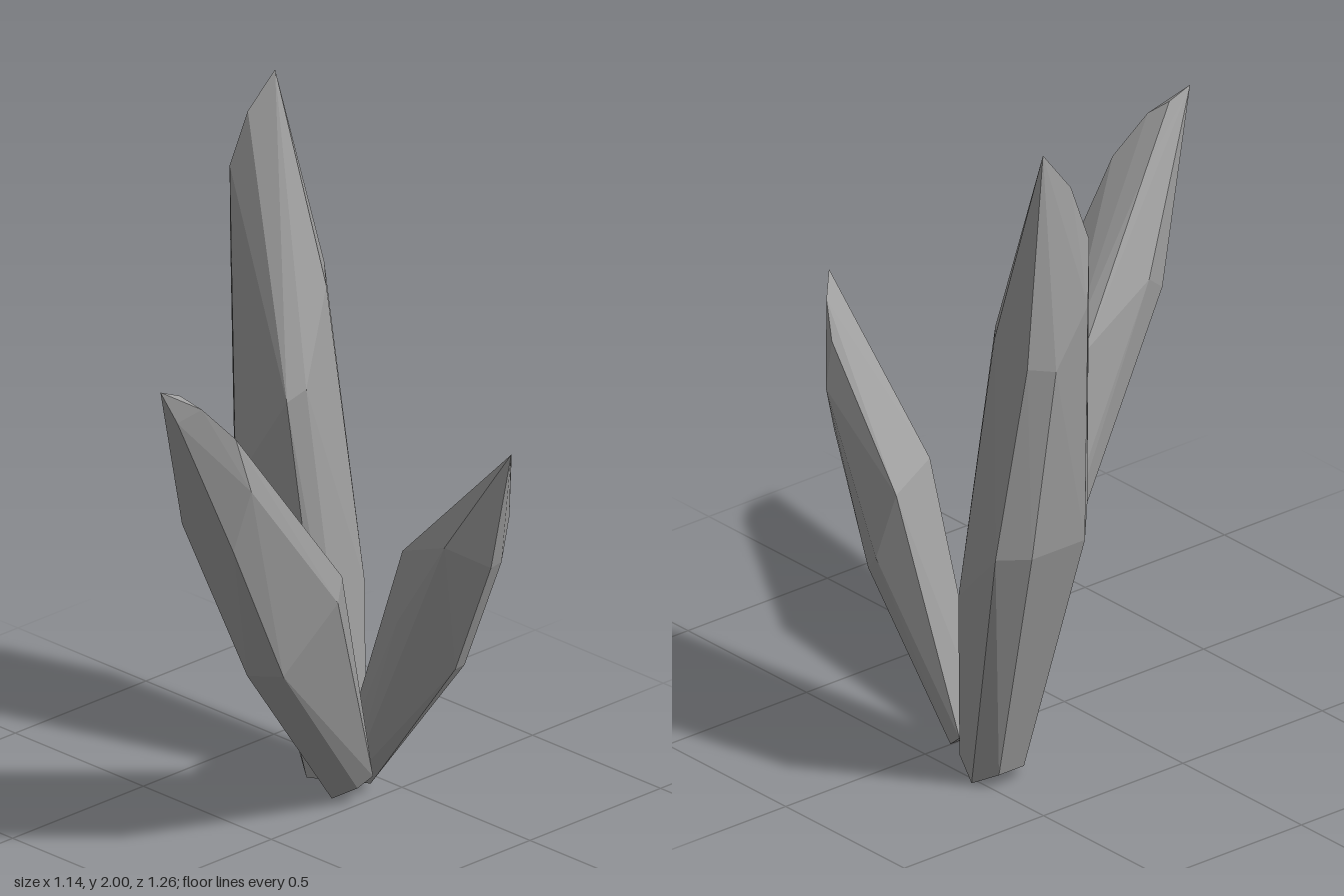
import * as THREE from 'three';
import { ConvexGeometry } from 'three/addons/geometries/ConvexGeometry.js';

const material = new THREE.MeshStandardMaterial({ color: 0x9e9e9e, flatShading: true });

// A faceted crystal: the convex hull of its base, shoulder and tip corners.
function crystal(name, rings) {
  const points = rings.flat().map((p) => new THREE.Vector3(...p));
  const mesh = new THREE.Mesh(new ConvexGeometry(points), material);
  mesh.name = name;
  return mesh;
}

export function createModel() {
  const group = new THREE.Group();
  group.name = 'crystalCluster';

  group.add(crystal('tallCrystal', [
    // base
    [[-0.30, 0.045, -0.40], [-0.23, 0, -0.36], [-0.13, 0.02, -0.37],
      [-0.10, 0.03, -0.41], [-0.11, 0.03, -0.47], [-0.22, 0, -0.52], [-0.30, 0.045, -0.49]],
    // lower shoulder
    [[-0.51, 0.80, -0.36], [-0.42, 0.85, -0.275], [-0.22, 1.15, -0.275], [-0.20, 1.18, -0.33],
      [-0.17, 0.55, -0.525], [-0.45, 0.80, -0.63], [-0.51, 0.80, -0.55]],
    // upper shoulder
    [[-0.57, 1.55, -0.40], [-0.565, 1.38, -0.51], [-0.52, 1.39, -0.575], [-0.38, 1.43, -0.575],
      [-0.29, 1.41, -0.495], [-0.29, 1.42, -0.42], [-0.34, 1.45, -0.33]],
    // tip
    [[-0.54, 1.73, -0.37], [-0.51, 1.89, -0.41], [-0.48, 2.0, -0.485]],
  ]));

  group.add(crystal('forwardCrystal', [
    // base
    [[-0.17, 0.06, -0.36], [-0.08, 0, -0.31], [0, 0.05, -0.33],
      [0.02, 0.08, -0.37], [-0.10, 0.10, -0.40], [-0.18, 0.13, -0.39]],
    // lower shoulder
    [[0.10, 0.58, 0.19], [0.19, 0.59, 0.14], [0.23, 0.77, -0.03],
      [0.19, 0.82, -0.085], [0.02, 1.03, 0.02], [-0.02, 1.05, 0.05]],
    // upper shoulder
    [[0.03, 1.17, 0.33], [0.08, 1.10, 0.42], [0.25, 1.06, 0.39],
      [0.30, 1.25, 0.37], [0.29, 1.42, 0.42], [0.15, 1.43, 0.42], [0.10, 1.23, 0.22]],
    // tip
    [[0.26, 1.53, 0.52], [0.215, 1.57, 0.56], [0.23, 1.50, 0.585], [0.21, 1.60, 0.63]],
  ]));

  group.add(crystal('sideCrystal', [
    // base
    [[-0.12, 0.08, -0.38], [-0.06, 0.04, -0.36], [-0.03, 0.03, -0.41],
      [-0.06, 0.04, -0.46], [-0.11, 0.08, -0.47]],
    // lower shoulder
    [[0.11, 0.75, -0.51], [0.15, 0.80, -0.355], [0.16, 0.60, -0.325],
      [0.29, 0.47, -0.42], [0.27, 0.46, -0.475], [0.16, 0.55, -0.54]],
    // upper shoulder
    [[0.26, 0.91, -0.36], [0.36, 0.89, -0.31], [0.45, 0.83, -0.40],
      [0.425, 0.82, -0.465], [0.43, 0.95, -0.49], [0.44, 1.08, -0.46]],
    // tip
    [[0.51, 1.17, -0.42], [0.57, 1.22, -0.36]],
  ]));

  return group;
}
